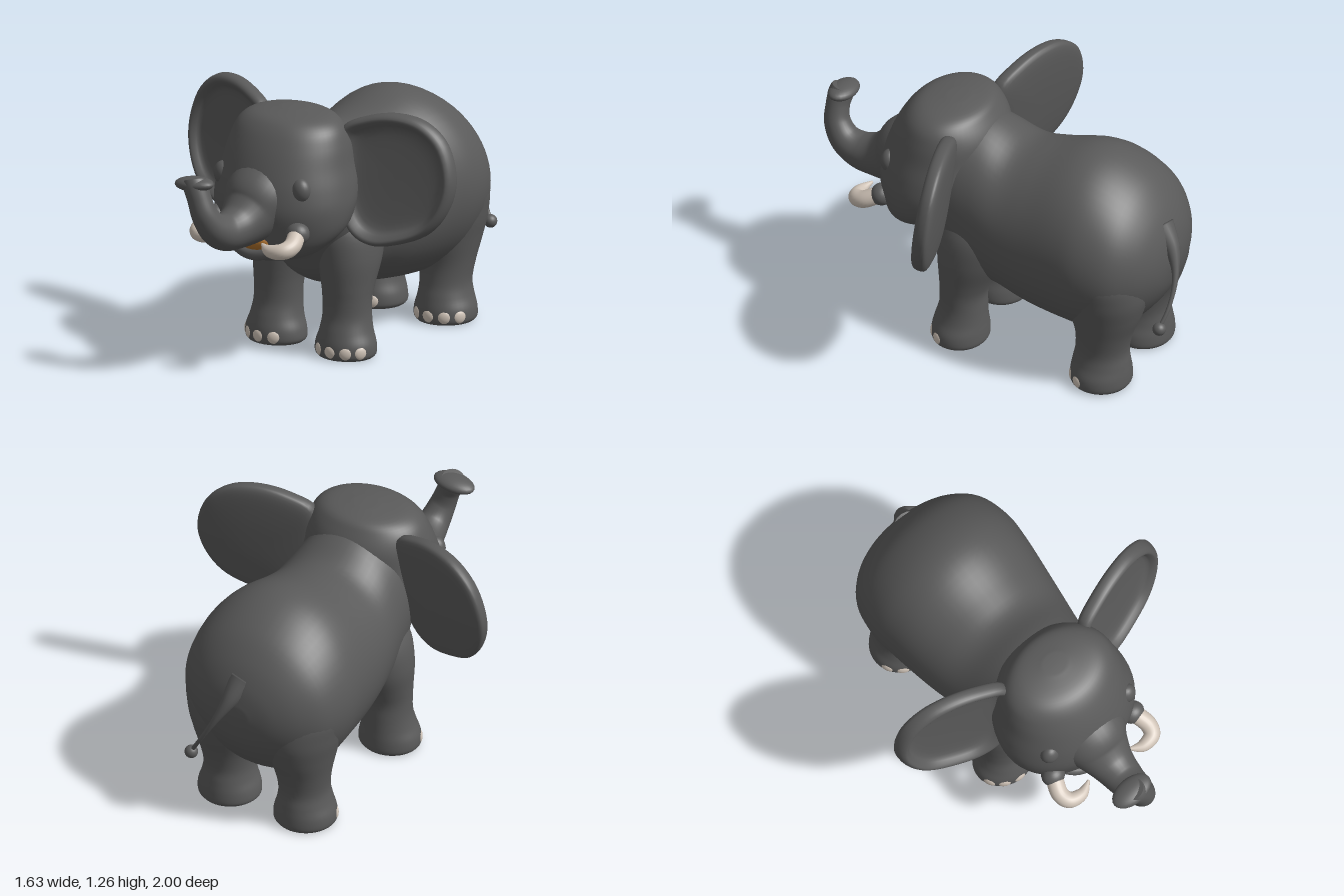
import * as THREE from 'three';

const mat = (name, color) => Object.assign(new THREE.MeshStandardMaterial({ color }), { name });
const V = (x, y, z) => new THREE.Vector3(x, y, z);

// Smooth interpolation between rows of numbers
function smoothRows(rows, steps) {
  const out = [], n = rows.length;
  const at = i => rows[Math.max(0, Math.min(n - 1, i))];
  for (let i = 0; i < n - 1; i++) {
    for (let k = 0; k < steps; k++) {
      const t = k / steps;
      out.push(rows[i].map((b, j) => {
        const a = at(i - 1)[j], c = at(i + 1)[j], d = at(i + 2)[j];
        return b + 0.5 * t * (c - a + t * (2 * a - 5 * b + 4 * c - d + t * (3 * (b - c) + d - a)));
      }));
    }
  }
  out.push(rows[n - 1]);
  return out;
}

// Closed skin over a list of rings, with centre points closing both ends
function skin(rings) {
  const n = rings[0].length, pos = [], idx = [];
  rings.forEach(r => r.forEach(p => pos.push(p.x, p.y, p.z)));
  for (let i = 0; i < rings.length - 1; i++) {
    for (let j = 0; j < n; j++) {
      const a = i * n + j, b = i * n + (j + 1) % n;
      idx.push(a, b, a + n, b, b + n, a + n);
    }
  }
  [0, rings.length - 1].forEach((r, end) => {
    const c = rings[r].reduce((s, p) => s.add(p), V(0, 0, 0)).divideScalar(n);
    const ci = pos.length / 3;
    pos.push(c.x, c.y, c.z);
    for (let j = 0; j < n; j++) {
      const a = r * n + j, b = r * n + (j + 1) % n;
      idx.push(...(end ? [ci, a, b] : [ci, b, a]));
    }
  });
  // Turn the faces outward whichever way the rings run
  const p = i => V(pos[3 * i], pos[3 * i + 1], pos[3 * i + 2]);
  let volume = 0;
  for (let i = 0; i < idx.length; i += 3) volume += p(idx[i]).dot(p(idx[i + 1]).cross(p(idx[i + 2])));
  if (volume < 0) idx.reverse();
  const g = new THREE.BufferGeometry();
  g.setAttribute('position', new THREE.Float32BufferAttribute(pos, 3));
  g.setIndex(idx);
  g.computeVertexNormals();
  return g;
}

// Elliptical sections along 'y' or 'z': [position, centreX, centreOther, radiusX, radiusOther]
function loft(rows, axis, side = 1, seg = 40) {
  return skin(smoothRows(rows, 5).map(([t, cx, c, rx, r]) => Array.from({ length: seg }, (_, j) => {
    const a = j / seg * Math.PI * 2;
    const x = side * (cx + Math.max(rx, 0.002) * Math.cos(a)), o = c + Math.max(r, 0.002) * Math.sin(a);
    return axis === 'y' ? V(x, t, o) : V(x, o, t);
  })));
}

// Tapered tube through points [x, y, z, radius]
function sweep(points, side = 1, seg = 24) {
  const rows = smoothRows(points, 8);
  const ps = rows.map(r => V(side * r[0], r[1], r[2]));
  let u = V(1, 0.1, 0.05);
  return skin(rows.map((r, i) => {
    const dir = ps[Math.min(i + 1, ps.length - 1)].clone().sub(ps[Math.max(i - 1, 0)]).normalize();
    u = u.clone().addScaledVector(dir, -u.dot(dir)).normalize();
    const v = dir.clone().cross(u);
    return Array.from({ length: seg }, (_, j) => {
      const a = j / seg * Math.PI * 2;
      return ps[i].clone().addScaledVector(u, r[3] * Math.cos(a)).addScaledVector(v, r[3] * Math.sin(a));
    });
  }));
}

// Dished ear: outline rings scaled towards the middle, front rim raised
function earGeometry(side) {
  const outline = new THREE.CatmullRomCurve3([[0.24, 1.17], [0.36, 1.235], [0.5, 1.26], [0.64, 1.235], [0.755, 1.14],
    [0.813, 0.96], [0.785, 0.81], [0.7, 0.69], [0.56, 0.625], [0.43, 0.605], [0.33, 0.65], [0.26, 0.78], [0.23, 1.0]]
    .map(([x, y]) => V(x, y, 0)), true).getPoints(64).slice(0, 64);
  const profile = [[0.03, -0.01], [0.45, -0.008], [0.75, 0], [0.85, 0.028], [0.92, 0.045], [0.98, 0.032],
    [1, 0.002], [0.97, -0.028], [0.8, -0.045], [0.4, -0.055], [0.03, -0.057]];
  return skin(smoothRows(profile, 3).map(([s, dz]) => outline.map(p => {
    const x = 0.5 + (p.x - 0.5) * s, y = 0.93 + (p.y - 0.93) * s;
    return V(side * x, y, 0.125 - (x - 0.5) * 0.28 - (y - 0.93) * 0.12 + dz);
  })));
}

export function createModel() {
  const model = new THREE.Group();
  model.name = 'elephant';
  const grey = mat('grey skin', 0x5a5a5a);
  const ivory = mat('ivory', 0xd0c4b8);
  const orange = mat('mouth orange', 0xb0722c);
  const add = (name, geometry, material = grey) => {
    const m = new THREE.Mesh(geometry, material);
    m.name = name;
    model.add(m);
    return m;
  };
  const ball = (name, p, s, material = grey) => {
    const m = add(name, new THREE.SphereGeometry(1, 24, 16), material);
    m.position.set(...p);
    m.scale.set(...s);
    return m;
  };

  // Body from chest to rump
  add('body', loft([[0.36, 0, 0.82, 0.22, 0.24], [0.27, 0, 0.83, 0.285, 0.34], [0.18, 0, 0.78, 0.31, 0.41],
    [0.05, 0, 0.73, 0.335, 0.425], [-0.1, 0, 0.69, 0.37, 0.4], [-0.25, 0, 0.68, 0.397, 0.43],
    [-0.45, 0, 0.695, 0.425, 0.47], [-0.6, 0, 0.69, 0.435, 0.46], [-0.75, 0, 0.685, 0.4, 0.385],
    [-0.85, 0, 0.685, 0.31, 0.275], [-0.91, 0, 0.68, 0.19, 0.16], [-0.935, 0, 0.68, 0.06, 0.05]], 'z', 1, 56));

  // Head and jaw
  add('head', loft([[0.53, 0, 0.41, 0.09, 0.11], [0.56, 0, 0.41, 0.2, 0.165], [0.62, 0, 0.4, 0.29, 0.19],
    [0.7, 0, 0.355, 0.35, 0.255], [0.8, 0, 0.33, 0.37, 0.3], [0.9, 0, 0.31, 0.36, 0.31],
    [1.0, 0, 0.3, 0.335, 0.29], [1.1, 0, 0.285, 0.312, 0.26], [1.18, 0, 0.28, 0.275, 0.21],
    [1.225, 0, 0.27, 0.2, 0.155], [1.245, 0, 0.26, 0.06, 0.05]], 'y', 1, 56));

  // Raised trunk with flared tip
  add('trunk', sweep([[0, 0.86, 0.42, 0.22], [0, 0.82, 0.53, 0.19], [0, 0.77, 0.62, 0.142], [0, 0.74, 0.71, 0.108],
    [0, 0.737, 0.8, 0.092], [0, 0.775, 0.88, 0.077], [-0.015, 0.85, 0.932, 0.065], [-0.04, 0.93, 0.943, 0.059],
    [-0.065, 0.99, 0.938, 0.062], [-0.075, 1.02, 0.932, 0.056]], 1, 32));
  ball('trunkTip', [-0.08, 0.997, 0.932], [0.11, 0.036, 0.067]).rotation.z = 0.1;

  // Mouth and lower lip
  ball('mouth', [0, 0.645, 0.56], [0.11, 0.055, 0.062], orange);
  add('lowerLip', sweep([[-0.22, 0.68, 0.5, 0.02], [-0.12, 0.605, 0.57, 0.026], [0, 0.575, 0.59, 0.028],
    [0.12, 0.605, 0.57, 0.026], [0.22, 0.68, 0.5, 0.02]], 1, 16));

  for (const side of [1, -1]) {
    const s = side > 0 ? 'left' : 'right';
    add(s + 'Ear', earGeometry(side));
    ball(s + 'Eye', [side * 0.24, 0.922, 0.508], [0.05, 0.06, 0.044]);
    ball(s + 'TuskSocket', [side * 0.25, 0.715, 0.545], [0.06, 0.055, 0.055]);
    add(s + 'Tusk', sweep([[0.25, 0.715, 0.55, 0.043], [0.278, 0.675, 0.625, 0.043], [0.258, 0.657, 0.68, 0.04],
      [0.19, 0.652, 0.692, 0.03], [0.125, 0.668, 0.664, 0.006]], side), ivory);

    // Legs widen upward into the shoulders and haunches
    const foot = (z, rz) => [[0, 0.215, z, 0.14, rz - 0.012], [0.02, 0.215, z, 0.157, rz], [0.07, 0.216, z, 0.154, rz]];
    add(s + 'FrontLeg', loft([...foot(0.13, 0.138), [0.13, 0.215, 0.125, 0.133, 0.129], [0.2, 0.213, 0.117, 0.122, 0.118],
      [0.28, 0.212, 0.115, 0.123, 0.117], [0.36, 0.21, 0.105, 0.132, 0.133], [0.5, 0.2, 0.08, 0.155, 0.17],
      [0.65, 0.17, 0.06, 0.165, 0.19], [0.8, 0.12, 0.05, 0.12, 0.14]], 'y', side));
    add(s + 'HindLeg', loft([...foot(-0.64, 0.15), [0.13, 0.215, -0.642, 0.134, 0.142], [0.2, 0.213, -0.645, 0.125, 0.133],
      [0.3, 0.213, -0.655, 0.138, 0.145], [0.42, 0.207, -0.66, 0.17, 0.185], [0.55, 0.2, -0.66, 0.205, 0.215],
      [0.7, 0.18, -0.65, 0.23, 0.21], [0.85, 0.12, -0.63, 0.15, 0.14]], 'y', side));

    // Toenails around the front of each foot
    for (const [leg, z, rz] of [['Front', 0.13, 0.138], ['Hind', -0.64, 0.15]]) {
      for (const deg of [25, 55, 87, 120]) {
        const a = deg * Math.PI / 180;
        const nail = ball(s + leg + 'Toenail', [side * (0.215 + 0.146 * Math.cos(a)), 0.042, z + (rz - 0.01) * Math.sin(a)],
          [0.035, 0.034, 0.017], ivory);
        nail.rotation.y = side * (Math.PI / 2 - a);
      }
    }
  }

  // Tail swinging to one side with a round tuft
  add('tail', sweep([[0.01, 0.84, -0.85, 0.075], [0.035, 0.765, -0.925, 0.042], [0.08, 0.67, -0.972, 0.02],
    [0.13, 0.58, -0.988, 0.012], [0.185, 0.49, -0.983, 0.01], [0.23, 0.42, -0.965, 0.01]], 1, 16));
  ball('tailTuft', [0.232, 0.412, -0.965], [0.033, 0.033, 0.033]);

  return model;
}
